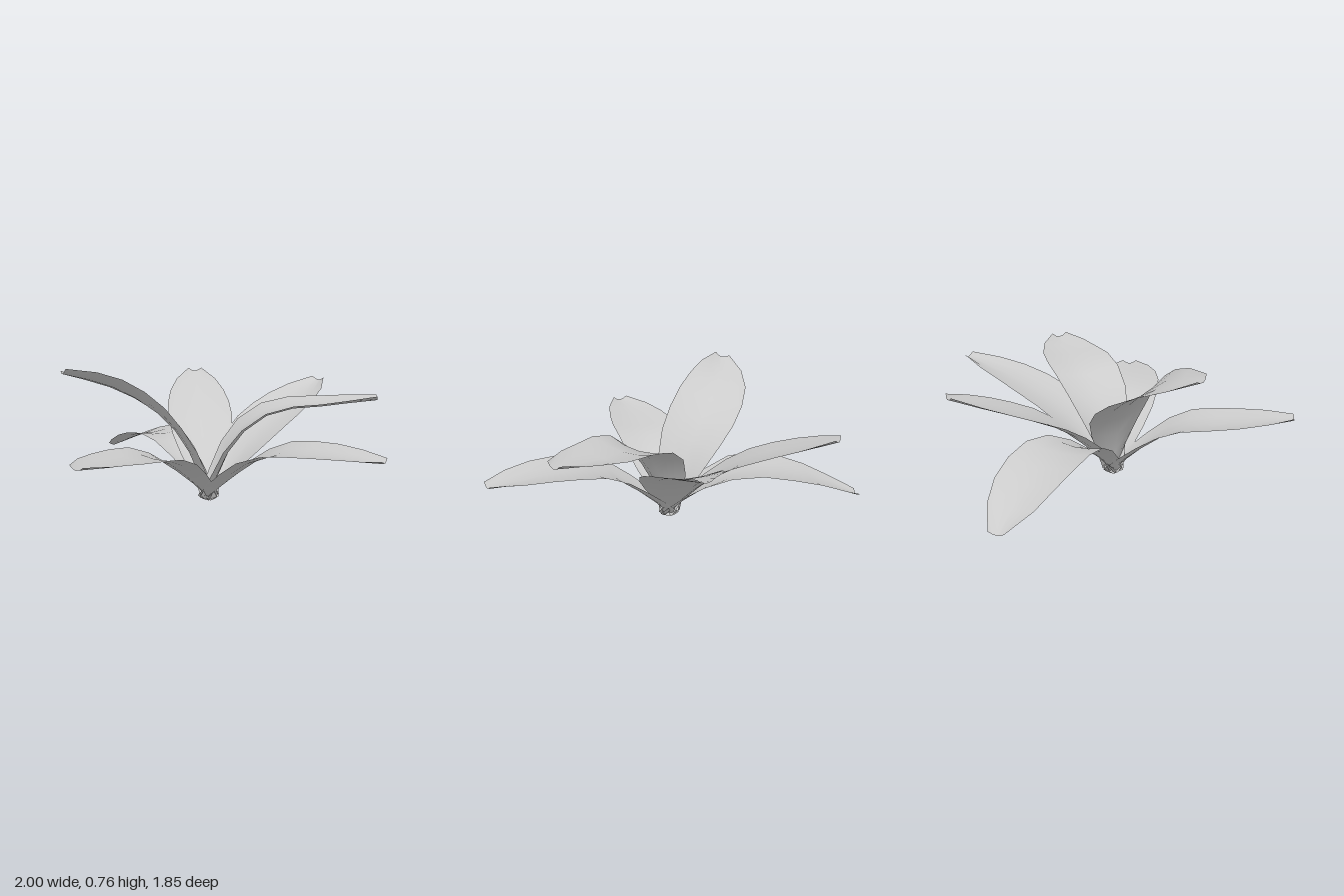
import * as THREE from 'three';

const material = new THREE.MeshStandardMaterial({ color: 0xcccccc, side: THREE.DoubleSide });

// Half width of a leaf at equal steps from stem to tip
const HALF_WIDTHS = [0.04, 0.088, 0.138, 0.175, 0.19, 0.187, 0.165, 0.122, 0.042];
const STEPS = HALF_WIDTHS.length - 1;
const ACROSS = 4;
const UP = new THREE.Vector3(0, 1, 0);
const CENTRE = new THREE.Vector3(0, 0.02, -0.04);

// Fractions of a leaf's reach at which its midrib height is given
const REACH = [0.16, 0.38, 0.68, 1];

// The midrib starts just behind the centre and arches in plan by "bend"
function midrib(tipX, tipZ, bend, heights) {
  const reach = new THREE.Vector3(tipX - CENTRE.x, 0, tipZ - CENTRE.z);
  const sideways = new THREE.Vector3(reach.z, 0, -reach.x).normalize();
  const points = REACH.map((f, i) => {
    const p = CENTRE.clone().addScaledVector(reach, f).addScaledVector(sideways, bend * 4 * f * (1 - f));
    return p.setY(heights[i]);
  });
  return new THREE.CatmullRomCurve3([CENTRE.clone().addScaledVector(reach, -0.03), ...points]);
}

// A cupped blade swept along its midrib
function bladeGeometry(curve, cup, roll) {
  const positions = [], index = [];
  for (let i = 0; i <= STEPS; i++) {
    const t = i / STEPS;
    const point = curve.getPointAt(t);
    const tangent = curve.getTangentAt(t);
    const side = new THREE.Vector3().crossVectors(tangent, UP).normalize().applyAxisAngle(tangent, -roll);
    const normal = new THREE.Vector3().crossVectors(side, tangent);
    for (let j = 0; j <= ACROSS; j++) {
      const u = (j / ACROSS) * 2 - 1;
      const lift = cup * (1 - 0.5 * t) * (u * u - 0.5);
      const v = point.clone().addScaledVector(side, u * HALF_WIDTHS[i]).addScaledVector(normal, lift);
      positions.push(v.x, Math.max(v.y, 0), v.z);
    }
  }
  for (let i = 0; i < STEPS; i++) {
    for (let j = 0; j < ACROSS; j++) {
      const a = i * (ACROSS + 1) + j, b = a + ACROSS + 1;
      index.push(a, a + 1, b, a + 1, b + 1, b);
    }
  }
  const geometry = new THREE.BufferGeometry();
  geometry.setAttribute('position', new THREE.Float32BufferAttribute(positions, 3));
  geometry.setIndex(index);
  geometry.computeVertexNormals();
  return geometry;
}

export function createModel() {
  const plant = new THREE.Group();
  plant.name = 'leafRosette';

  function addLeaf(name, tipX, tipZ, bend, heights, cup = 0.04, roll = 0) {
    const mesh = new THREE.Mesh(bladeGeometry(midrib(tipX, tipZ, bend, heights), cup, roll), material);
    mesh.name = name;
    plant.add(mesh);
  }

  // Low, drooping leaves
  addLeaf('frontLeaf', -0.1, 0.92, -0.025, [0.19, 0.33, 0.375, 0.41]);
  addLeaf('leftLeaf', 0.995, -0.075, -0.03, [0.19, 0.335, 0.378, 0.372]);
  addLeaf('lowRightLeaf', -0.985, -0.42, -0.045, [0.2, 0.3, 0.255, 0.11], 0.035);

  // Rising leaves at the back
  addLeaf('backLeaf', 0.24, -0.92, -0.025, [0.2, 0.365, 0.495, 0.59]);
  addLeaf('backRightLeaf', -0.567, -0.757, 0.01, [0.2, 0.36, 0.487, 0.597]);

  // Steep upper leaves
  addLeaf('backLeftLeaf', 0.78, -0.5, 0.037, [0.38, 0.525, 0.56, 0.595], 0.05, 0.05);
  addLeaf('frontRightLeaf', -0.592, 0.458, -0.085, [0.35, 0.53, 0.665, 0.745], 0.045, -0.27);

  return plant;
}
